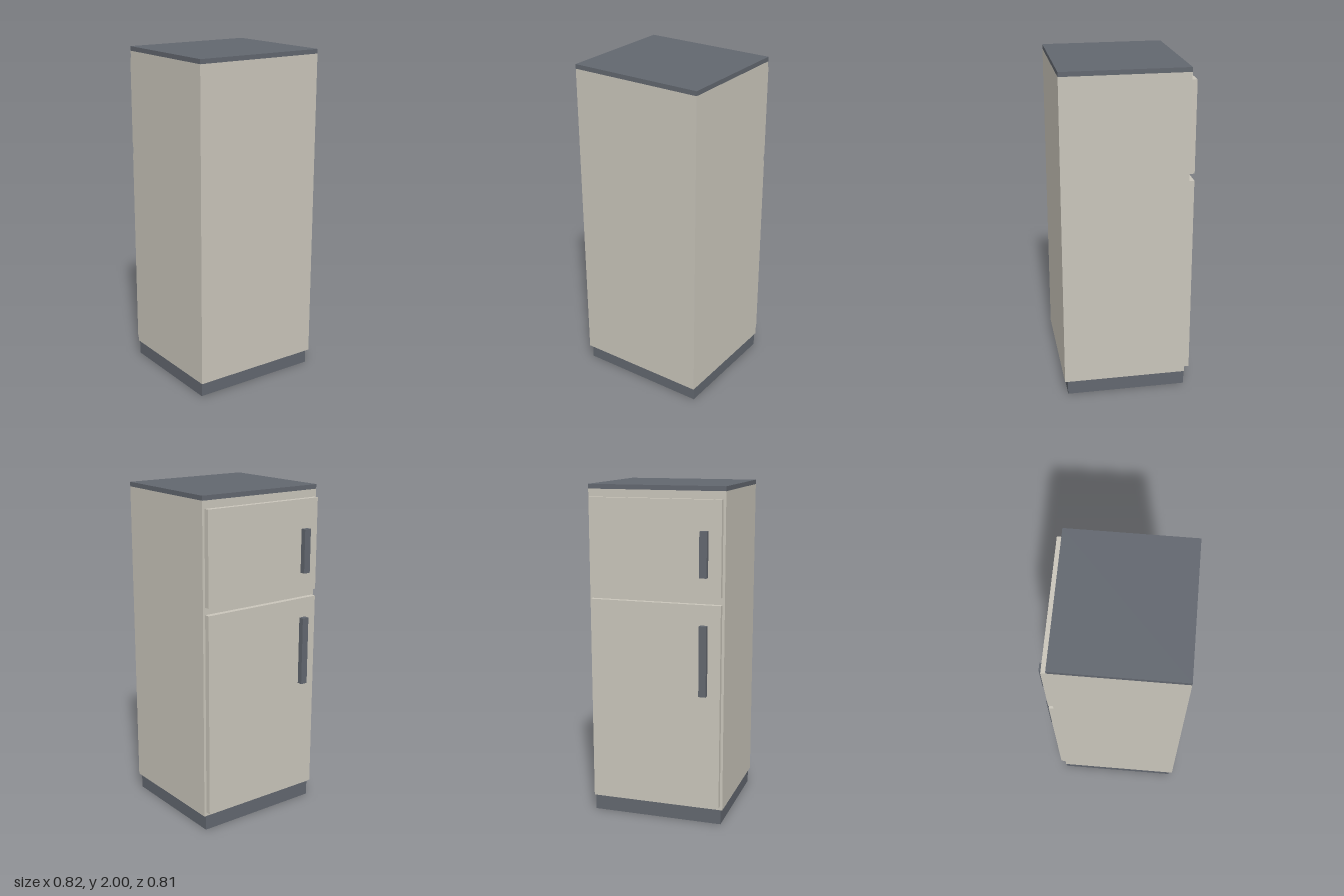
import * as THREE from 'three';

export function createModel() {
  const model = new THREE.Group();
  const cream = new THREE.MeshStandardMaterial({ color: 0xc9c5ba });
  cream.name = 'warm cream';
  const slate = new THREE.MeshStandardMaterial({ color: 0x62676f });
  slate.name = 'slate grey';

  // Box given by its [min, max] extent on each axis
  function box(name, material, [x0, x1], [y0, y1], [z0, z1], parent = model) {
    const mesh = new THREE.Mesh(new THREE.BoxGeometry(x1 - x0, y1 - y0, z1 - z0), material);
    mesh.position.set((x0 + x1) / 2, (y0 + y1) / 2, (z0 + z1) / 2);
    mesh.name = name;
    parent.add(mesh);
  }

  const back = -0.34;
  const doorFace = -0.373;

  // Cabinet: recessed plinth, tall body and top panel
  box('plinth', slate, [-0.4, 0.4], [0, 0.09], [back, 0.385]);
  box('cabinetBody', cream, [-0.41, 0.41], [0.09, 1.973], [back, 0.404]);
  box('topPanel', slate, [-0.41, 0.41], [1.973, 2], [back, 0.404]);

  // Two doors, each with a bar handle near its edge
  const doors = [
    { name: 'freezer', door: [1.379, 1.928], handle: [1.493, 1.755] },
    { name: 'fridge', door: [0.114, 1.336], handle: [0.802, 1.218] },
  ];
  for (const { name, door, handle } of doors) {
    const group = new THREE.Group();
    group.name = name + 'DoorAssembly';
    box(name + 'Door', cream, [-0.395, 0.395], door, [doorFace, back], group);
    box(name + 'Handle', slate, [-0.319, -0.275], handle, [-0.405, doorFace], group);
    model.add(group);
  }

  return model;
}
